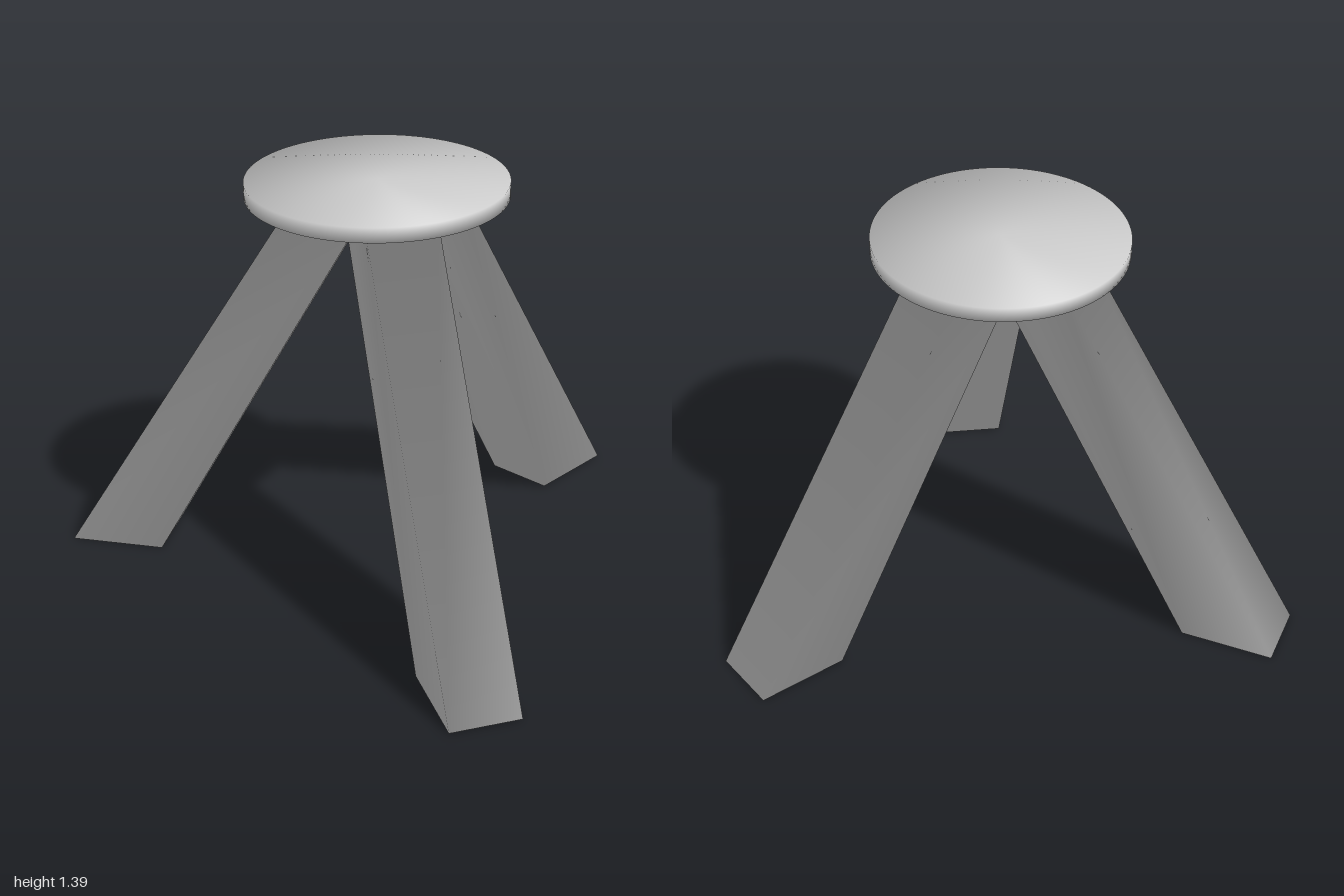
import * as THREE from 'three';
import { mergeGeometries } from 'three/addons/utils/BufferGeometryUtils.js';

const SEAT_RADIUS = 0.43, SEAT_BOTTOM = 1.34, SEAT_TOP = 1.39, SEGMENTS = 96;
const HALF = 0.12;                      // half the width of a leg
const FOOT_OUT = 1.085, FOOT_IN = 0.76; // distances from the seat axis
const TOP_OUT = 0.25;
const HUB = HALF / Math.sqrt(3);        // where neighbouring legs meet
const HUB_Y = SEAT_BOTTOM * (1 - HUB / FOOT_IN);
const TURN = (Math.PI * 2) / 3;

// Smooths normals over all parts together, weighting each face by its corner angle
function blendNormals(geometries) {
  const sums = new Map();
  const eachCorner = (visit) => geometries.forEach((geometry) => {
    const pos = geometry.attributes.position;
    const at = (i) => new THREE.Vector3().fromBufferAttribute(pos, i);
    for (let i = 0; i < pos.count; i++) {
      const key = at(i).toArray().map((n) => Math.round(n * 1000)).join();
      visit(geometry.attributes.normal, at, i, key);
    }
  });
  geometries.forEach((geometry) => geometry.computeVertexNormals());
  eachCorner((normal, at, i, key) => {
    const first = i - (i % 3);
    const a = at(first + ((i + 1) % 3)).sub(at(i));
    const b = at(first + ((i + 2) % 3)).sub(at(i));
    const face = new THREE.Vector3().fromBufferAttribute(normal, i);
    if (!sums.has(key)) sums.set(key, new THREE.Vector3());
    sums.get(key).addScaledVector(face, a.angleTo(b));
  });
  sums.forEach((sum) => sum.normalize());
  eachCorner((normal, at, i, key) => normal.setXYZ(i, ...sums.get(key).toArray()));
}

// Thin round seat, its underside open where the legs join it
function seatGeometry() {
  const ring = Array.from({ length: SEGMENTS }, (_, i) => {
    const a = (i * Math.PI * 2) / SEGMENTS;
    return new THREE.Vector2(Math.cos(a), Math.sin(a)).multiplyScalar(SEAT_RADIUS);
  });
  const joint = [0, 1, 2].flatMap((i) =>
    [[TOP_OUT, -HALF], [TOP_OUT, HALF], [HUB, HALF]].map(([x, z]) =>
      new THREE.Vector2(x, z).rotateAround(new THREE.Vector2(), i * TURN)));
  const underside = new THREE.Shape(ring);
  underside.holes.push(new THREE.Path(joint));
  const thickness = SEAT_TOP - SEAT_BOTTOM;
  return mergeGeometries([
    new THREE.CircleGeometry(SEAT_RADIUS, SEGMENTS).rotateX(-Math.PI / 2).translate(0, SEAT_TOP, 0),
    new THREE.CylinderGeometry(SEAT_RADIUS, SEAT_RADIUS, thickness, SEGMENTS, 1, true)
      .translate(0, SEAT_BOTTOM + thickness / 2, 0),
    new THREE.ShapeGeometry(underside).rotateX(Math.PI / 2).translate(0, SEAT_BOTTOM, 0),
  ]).toNonIndexed();
}

// Splayed, slightly tapered leg, mitred against its neighbours at the hub
function legGeometry() {
  const side = (z) => ({
    footOut: [FOOT_OUT, 0, z], footIn: [FOOT_IN, 0, z],
    hubLow: [HUB, HUB_Y, z], hubTop: [HUB, SEAT_BOTTOM, z], topOut: [TOP_OUT, SEAT_BOTTOM, z],
  });
  const f = side(HALF), b = side(-HALF), apex = [0, SEAT_BOTTOM, 0];
  const faces = [
    [f.footOut, b.footOut, b.topOut, f.topOut],
    [f.footIn, f.footOut, f.topOut, f.hubTop, f.hubLow],
    [b.hubLow, b.hubTop, b.topOut, b.footOut, b.footIn],
    [b.footIn, f.footIn, f.hubLow, apex, b.hubLow],
    [f.footIn, b.footIn, b.footOut, f.footOut],
  ];
  const corners = [];
  for (const face of faces)
    for (let i = 1; i < face.length - 1; i++) corners.push(...face[0], ...face[i], ...face[i + 1]);
  return new THREE.BufferGeometry()
    .setAttribute('position', new THREE.Float32BufferAttribute(corners, 3));
}

export function createModel() {
  const stool = new THREE.Group();
  stool.name = 'threeLeggedStool';
  const material = new THREE.MeshStandardMaterial({ color: 0xcccccc });

  // One seat and three legs spread evenly around its axis
  const parts = { seat: seatGeometry() };
  ['sideLeg', 'backLeg', 'frontLeg'].forEach((name, i) => {
    parts[name] = legGeometry().rotateY(i * TURN);
  });
  blendNormals(Object.values(parts));

  // The seat axis sits off centre so that the footprint is centred
  for (const [name, geometry] of Object.entries(parts)) {
    const mesh = new THREE.Mesh(geometry, material);
    mesh.position.x = -0.22;
    mesh.name = name;
    stool.add(mesh);
  }
  return stool;
}
